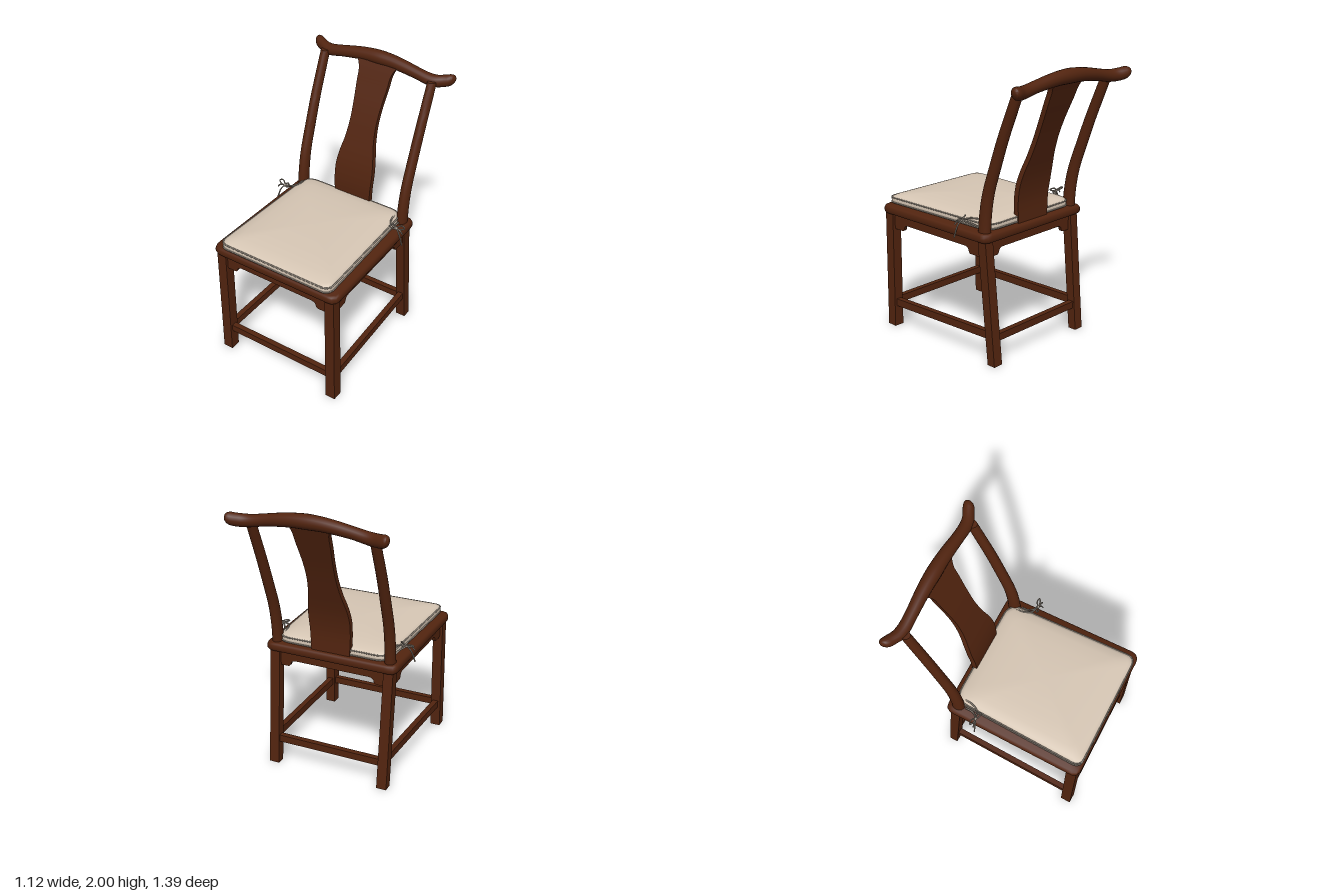
import * as THREE from 'three';
import { toCreasedNormals } from 'three/addons/utils/BufferGeometryUtils.js';

const V = (x, y, z) => new THREE.Vector3(x, y, z);
const wood = new THREE.MeshStandardMaterial({ color: 0x52240f });
const fabric = new THREE.MeshStandardMaterial({ color: 0xd6c6b4 });
const cord = new THREE.MeshStandardMaterial({ color: 0x9a9084 });
wood.name = 'dark wood';
fabric.name = 'beige fabric';
cord.name = 'grey cord';

// Skin a list of closed rings (equal point counts) and cap both ends
function loft(rings, crease = 0.9) {
  const n = rings[0].length, last = rings.length - 1, pos = [], idx = [];
  rings.forEach(r => r.forEach(p => pos.push(p.x, p.y, p.z)));
  for (let i = 0; i < last; i++) {
    for (let j = 0; j < n; j++) {
      const a = i * n + j, b = i * n + (j + 1) % n;
      idx.push(a, a + n, b, b, a + n, b + n);
    }
  }
  [0, last].forEach(k => {
    const c = rings[k].reduce((s, p) => s.add(p), V(0, 0, 0)).divideScalar(n);
    const ci = pos.length / 3;
    pos.push(c.x, c.y, c.z);
    for (let j = 0; j < n; j++) {
      const a = k * n + j, b = k * n + (j + 1) % n;
      if (k) idx.push(a, ci, b); else idx.push(b, ci, a);
    }
  });
  const g = new THREE.BufferGeometry();
  g.setAttribute('position', new THREE.Float32BufferAttribute(pos, 3));
  g.setIndex(idx);
  return toCreasedNormals(g, crease);
}

// Horizontal rings: rectangle and ellipse
const rect = (c, hx, hz) => [[1, 1], [-1, 1], [-1, -1], [1, -1]].map(([a, b]) => V(c.x + a * hx, c.y, c.z + b * hz));
const ellipse = (c, rx, rz, n = 20) => Array.from({ length: n }, (_, i) => {
  const a = i / n * Math.PI * 2;
  return V(c.x + Math.cos(a) * rx, c.y, c.z + Math.sin(a) * rz);
});

// Smooth samples through rows of three numbers
const smooth = (rows, n) => new THREE.CatmullRomCurve3(rows.map(r => V(...r))).getPoints(n);

// Tapered outline with rounded corners; shape y is model z
function outline(front, back, z0, z1, rf, rb, n) {
  const s = new THREE.Shape();
  s.moveTo(-back + rb, z0);
  s.lineTo(back - rb, z0);
  s.quadraticCurveTo(back, z0, back, z0 + rb);
  s.lineTo(front, z1 - rf);
  s.quadraticCurveTo(front, z1, front - rf, z1);
  s.lineTo(-front + rf, z1);
  s.quadraticCurveTo(-front, z1, -front, z1 - rf);
  s.lineTo(-back, z0 + rb);
  s.quadraticCurveTo(-back, z0, -back + rb, z0);
  return s.getSpacedPoints(n).slice(0, n);
}
const layer = (pts, s, y, zc) => pts.map(p => V(p.x * s, y, zc + (p.y - zc) * s));

export function createModel() {
  const group = new THREE.Group();
  const add = (name, geo, mat = wood) => {
    const m = new THREE.Mesh(geo, mat);
    m.name = name;
    group.add(m);
    return m;
  };
  const bar = (name, a, b, w, h) => {
    const m = add(name, new THREE.BoxGeometry(w, h, a.distanceTo(b)));
    m.position.copy(a).add(b).multiplyScalar(0.5);
    m.lookAt(b);
  };
  const tube = (name, pts, r, mat, closed = false, seg = 24) =>
    add(name, new THREE.TubeGeometry(new THREE.CatmullRomCurve3(pts, closed), seg, r, 6, closed), mat);

  // Seat board with rounded edge
  const seat = outline(0.505, 0.49, -0.355, 0.69, 0.06, 0.05, 120);
  add('seat', loft([[0.965, 0.868], [0.988, 0.874], [0.998, 0.886], [1, 0.9], [0.998, 0.914], [0.988, 0.926], [0.965, 0.932]]
    .map(([s, y]) => layer(seat, s, y, 0.17))));

  // Legs and the curved posts above the rear pair
  const postLine = smooth([[0.425, 0.9, -0.278], [0.425, 1.05, -0.29], [0.426, 1.2, -0.318], [0.428, 1.4, -0.385],
    [0.43, 1.6, -0.458], [0.43, 1.8, -0.54], [0.43, 1.91, -0.585]], 32);
  for (const s of [1, -1]) {
    const side = s > 0 ? 'left' : 'right';
    add(side + 'FrontLeg', loft([rect(V(s * 0.452, 0, 0.633), 0.037, 0.038), rect(V(s * 0.444, 0.88, 0.633), 0.036, 0.038)]));
    add(side + 'BackLeg', loft([rect(V(s * 0.422, 0, -0.37), 0.037, 0.032), rect(V(s * 0.428, 0.88, -0.288), 0.035, 0.036)]));
    add(side + 'BackPost', loft(postLine.map((p, i) => {
      const t = i / 32;
      return ellipse(V(s * p.x, p.y, p.z), 0.038 - 0.007 * t, 0.047 - 0.008 * t);
    })));
    bar(side + 'Stretcher', V(s * 0.449, 0.182, 0.62), V(s * 0.425, 0.212, -0.345), 0.04, 0.055);
  }
  bar('frontStretcher', V(-0.44, 0.19, 0.633), V(0.44, 0.19, 0.633), 0.04, 0.052);
  bar('backStretcher', V(-0.42, 0.19, -0.352), V(0.42, 0.19, -0.352), 0.04, 0.052);

  // Aprons with stepped corner brackets
  const apron = (name, a, b, w) => {
    const h = a.distanceTo(b) / 2;
    const s = new THREE.Shape();
    s.moveTo(-h, 0.88);
    s.lineTo(-h, 0.755);
    s.lineTo(-h + w - 0.015, 0.755);
    s.quadraticCurveTo(-h + w, 0.757, -h + w + 0.005, 0.78);
    s.quadraticCurveTo(-h + w + 0.01, 0.8, -h + w + 0.04, 0.802);
    s.lineTo(h - w - 0.04, 0.802);
    s.quadraticCurveTo(h - w - 0.01, 0.8, h - w - 0.005, 0.78);
    s.quadraticCurveTo(h - w, 0.757, h - w + 0.015, 0.755);
    s.lineTo(h, 0.755);
    s.lineTo(h, 0.88);
    const g = new THREE.ExtrudeGeometry(s, { depth: 0.024, bevelEnabled: false, curveSegments: 6 });
    g.translate(0, 0, -0.012);
    const m = add(name, g);
    m.position.copy(a).add(b).multiplyScalar(0.5);
    m.rotation.y = Math.atan2(a.z - b.z, b.x - a.x);
  };
  apron('frontApron', V(-0.42, 0, 0.64), V(0.42, 0, 0.64), 0.09);
  apron('backApron', V(-0.41, 0, -0.295), V(0.41, 0, -0.295), 0.09);
  apron('leftApron', V(0.45, 0, 0.62), V(0.435, 0, -0.275), 0.12);
  apron('rightApron', V(-0.45, 0, 0.62), V(-0.435, 0, -0.275), 0.12);

  // Back splat: rows hold half width, height and depth
  const splat = smooth([[0.143, 0.92, -0.303], [0.15, 1.08, -0.303], [0.152, 1.2, -0.322], [0.139, 1.3, -0.35],
    [0.118, 1.4, -0.385], [0.106, 1.52, -0.428], [0.109, 1.64, -0.475], [0.122, 1.78, -0.535],
    [0.13, 1.87, -0.573], [0.16, 1.93, -0.6]], 40);
  add('backSplat', loft(splat.map(p => rect(V(0, p.y, p.z), p.x, 0.02))));

  // Top rail: bowed, with upturned round tips sweeping backward
  const half = [[0, 1.95, -0.617, 0.05], [0.1, 1.947, -0.617, 0.047], [0.2, 1.936, -0.614, 0.044], [0.3, 1.92, -0.61, 0.041],
    [0.4, 1.902, -0.611, 0.042], [0.45, 1.9, -0.621, 0.043], [0.5, 1.907, -0.645, 0.043],
    [0.53, 1.914, -0.657, 0.041], [0.55, 1.92, -0.664, 0.03], [0.56, 1.922, -0.667, 0.012]];
  const path = [...half.slice(1).reverse().map(([x, ...r]) => [-x, ...r]), ...half];
  const centres = smooth(path.map(p => p.slice(0, 3)), 72);
  const radii = smooth(path.map(p => [p[0], p[3], 0]), 72);
  add('topRail', loft(centres.map((c, i) => Array.from({ length: 20 }, (_, j) => {
    const a = j / 20 * Math.PI * 2, r = radii[i].y;
    return V(c.x, c.y + Math.cos(a) * r, c.z - Math.sin(a) * r);
  }))));

  // Domed cushion with piped seams
  const pad = outline(0.445, 0.415, -0.312, 0.678, 0.06, 0.1, 120);
  add('cushion', loft([[0.96, 0.93], [0.99, 0.936], [1, 0.95], [1, 0.968], [0.985, 0.982], [0.94, 0.992],
    [0.8, 1.004], [0.6, 1.012], [0.35, 1.018], [0.12, 1.02]].map(([s, y]) => layer(pad, s, y, 0.18)), 1.2), fabric);
  for (const y of [0.941, 0.976]) tube('cushionPiping', layer(pad, 0.996, y, 0.18), 0.006, cord, true, 160);

  // Tied cords at the rear corners
  for (const s of [1, -1]) {
    const P = (x, y, z) => V(s * x, y, z);
    tube('tieCord', [P(0.385, 0.985, -0.245), P(0.392, 0.993, -0.19), P(0.42, 0.992, -0.135), P(0.47, 0.99, -0.115)], 0.006, cord);
    tube('tieLowerCord', [P(0.43, 0.955, -0.22), P(0.435, 0.965, -0.16), P(0.47, 0.985, -0.115)], 0.006, cord);
    tube('outerBow', [P(0.475, 0.99, -0.115), P(0.505, 1.012, -0.135), P(0.532, 1.004, -0.13), P(0.51, 0.99, -0.117)], 0.005, cord, true);
    tube('innerBow', [P(0.475, 0.99, -0.115), P(0.45, 1.012, -0.12), P(0.428, 1.005, -0.1), P(0.45, 0.99, -0.1)], 0.005, cord, true);
    tube('longTail', [P(0.475, 0.99, -0.115), P(0.505, 0.95, -0.105), P(0.532, 0.875, -0.1)], 0.005, cord);
    tube('shortTail', [P(0.475, 0.99, -0.115), P(0.51, 0.985, -0.108), P(0.53, 0.965, -0.105)], 0.005, cord);
    const knot = add('tieKnot', new THREE.SphereGeometry(0.012, 10, 8), cord);
    knot.position.copy(P(0.475, 0.99, -0.115));
  }
  return group;
}
